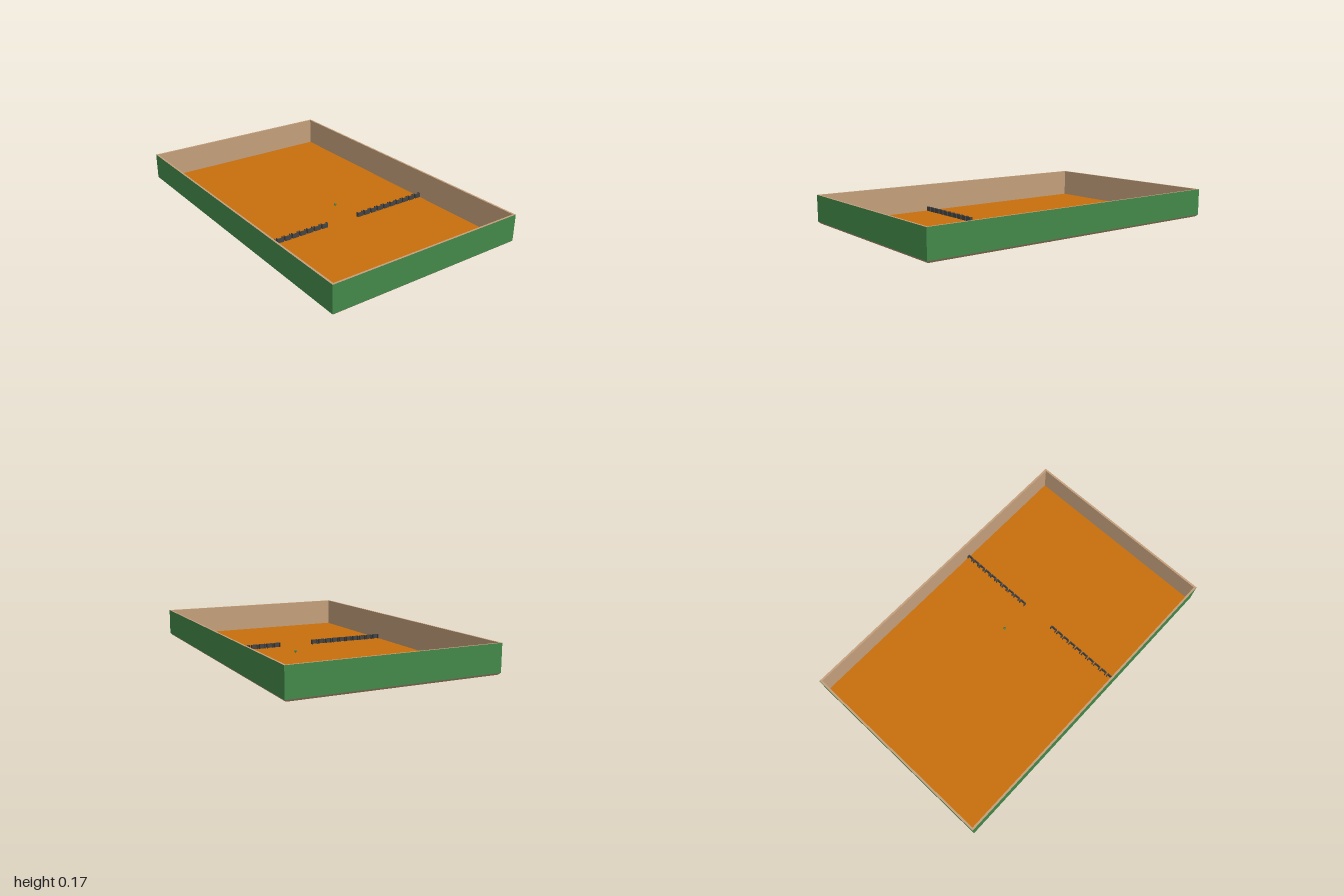
import * as THREE from 'three';

const material = (color) => new THREE.MeshStandardMaterial({ color });
const green = material(0x43894a);
const tan = material(0xc4a07c);
const orange = material(0xc86e0c);
const dark = material(0x444444);

// Rectangular band joining neighbouring [halfWidth, y, halfDepth] rings
function band(name, rings, mat) {
  const corners = [[1, 1], [1, -1], [-1, -1], [-1, 1]];
  const at = (ring, i) => {
    const [sx, sz] = corners[i % 4];
    return [sx * ring[0], ring[1], sz * ring[2]];
  };
  const points = [];
  for (let r = 0; r < rings.length - 1; r++) {
    for (let i = 0; i < 4; i++) {
      const a = at(rings[r], i), b = at(rings[r], i + 1);
      const c = at(rings[r + 1], i + 1), d = at(rings[r + 1], i);
      points.push(...a, ...b, ...c, ...a, ...c, ...d);
    }
  }
  const geometry = new THREE.BufferGeometry();
  geometry.setAttribute('position', new THREE.Float32BufferAttribute(points, 3));
  geometry.computeVertexNormals();
  const mesh = new THREE.Mesh(geometry, mat);
  mesh.name = name;
  return mesh;
}

function box(name, size, position, mat) {
  const mesh = new THREE.Mesh(new THREE.BoxGeometry(...size), mat);
  mesh.position.set(...position);
  mesh.name = name;
  return mesh;
}

// Row of small bracket-shaped posts between two depths
function fenceRow(name, zStart, zEnd) {
  const row = new THREE.Group();
  row.name = name;
  const count = 10, height = 0.028, pitch = (zEnd - zStart) / count;
  const length = pitch * 0.8;
  for (let i = 0; i < count; i++) {
    const z = zStart + pitch * (i + 0.5);
    const post = new THREE.Group();
    post.name = 'fencePost';
    post.add(box('spine', [0.005, height, length], [0.246, height / 2, z], dark));
    for (const side of [-1, 1]) {
      post.add(box('arm', [0.014, height, 0.005],
        [0.237, height / 2, z + side * (length / 2 - 0.0025)], dark));
    }
    row.add(post);
  }
  return row;
}

export function createModel() {
  const model = new THREE.Group();
  model.name = 'tray';

  // Wall cross-section: bevelled foot, outer face, flat rim, inner face
  const innerFoot = [0.988, 0, 0.618], outerFoot = [1, 0.012, 0.63];
  const outerRim = [1, 0.175, 0.63], innerRim = [0.988, 0.175, 0.618];
  model.add(band('wallFoot', [innerFoot, outerFoot], tan));
  model.add(band('outerWall', [outerFoot, outerRim], green));
  model.add(band('rimAndInnerWall', [outerRim, innerRim, innerFoot], tan));

  // Thin floor sheet
  const sheet = orange.clone();
  sheet.side = THREE.DoubleSide;
  const floor = new THREE.Mesh(new THREE.PlaneGeometry(1.976, 1.236).rotateX(-Math.PI / 2), sheet);
  floor.name = 'floor';
  model.add(floor);

  // Two fence rows with a gap in the middle
  model.add(fenceRow('backFence', -0.625, -0.11));
  model.add(fenceRow('frontFence', 0.105, 0.62));

  // Small ball on the floor
  const ball = new THREE.Mesh(new THREE.SphereGeometry(0.008, 12, 8), green);
  ball.position.set(0.035, 0.008, -0.1);
  ball.name = 'ball';
  model.add(ball);

  return model;
}
